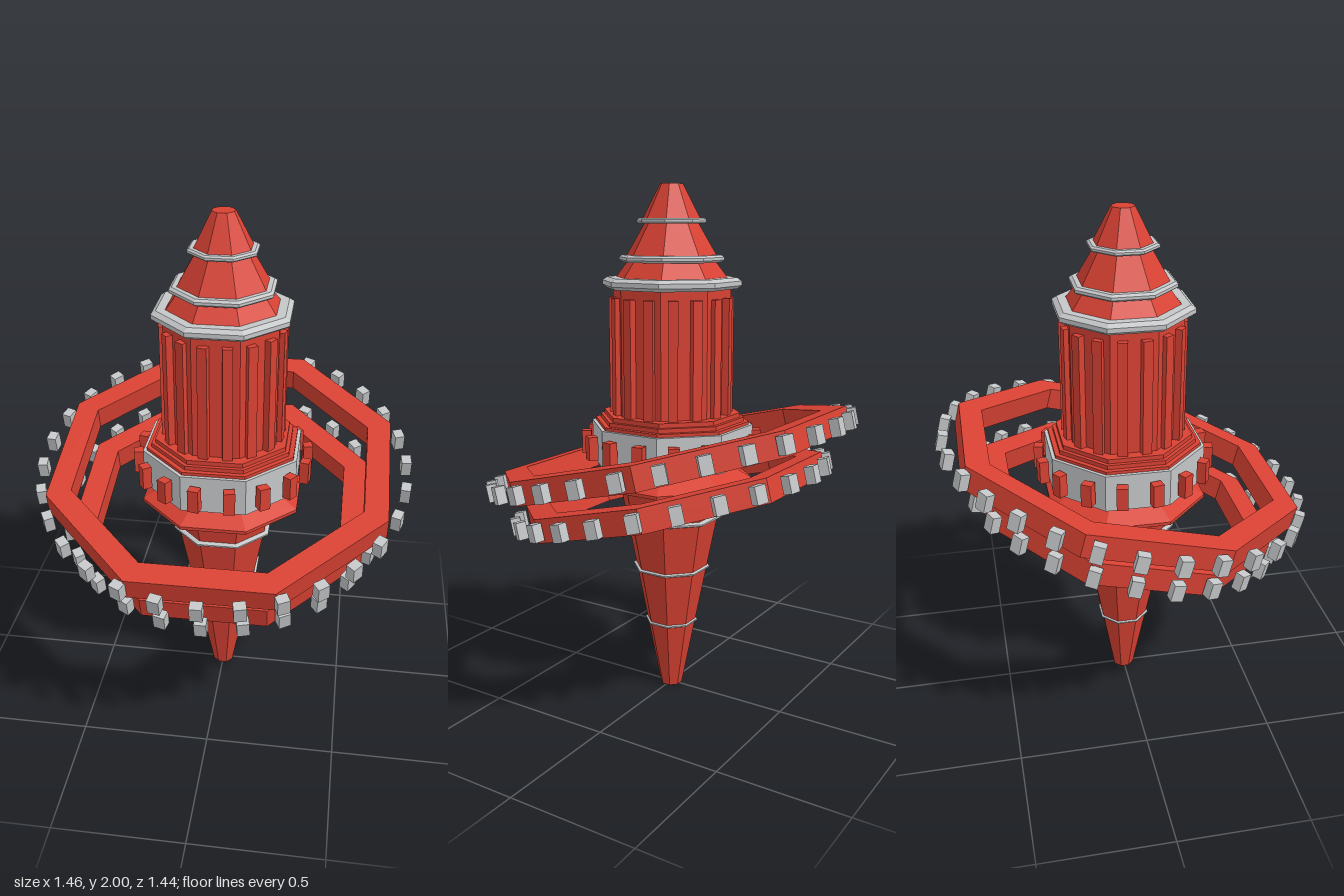
import * as THREE from 'three';

const SIDES = 8;
const TILT = THREE.MathUtils.degToRad(14);

export function createModel() {
  const red = new THREE.MeshStandardMaterial({ color: 0xd84133, flatShading: true });
  red.name = 'red hull';
  const grey = new THREE.MeshStandardMaterial({ color: 0xc4c6c8, flatShading: true });
  grey.name = 'grey metal';

  const model = new THREE.Group();
  model.name = 'spireStation';

  // Octagonal solid; profile points are [distance to the flat side, height], outer side going up
  function octagon(name, profile, material, parent = model) {
    const k = 1 / Math.cos(Math.PI / SIDES);
    const points = profile.map(([r, y]) => new THREE.Vector2(r * k, y));
    const mesh = new THREE.Mesh(new THREE.LatheGeometry(points, SIDES, Math.PI / SIDES), material);
    mesh.name = name;
    parent.add(mesh);
    return mesh;
  }

  // Frustum or stack with closed ends
  const solid = (name, profile, material) =>
    octagon(name, [[0, profile[0][1]], ...profile, [0, profile.at(-1)[1]]], material);

  // Thin chamfered trim band around the body
  function band(name, r, y, depth, height) {
    const h = height / 2, b = r - depth * 0.35, i = r - depth;
    octagon(name, [[i, y - h], [b, y - h], [r, y - h * 0.4], [r, y + h * 0.4],
      [b, y + h], [i, y + h]], grey);
  }

  // Evenly spaced boxes facing outward around the axis
  function boxCircle(name, count, radius, size, y, offset, material, parent = model) {
    const group = new THREE.Group();
    group.name = name;
    const geometry = new THREE.BoxGeometry(...size);
    for (let i = 0; i < count; i++) {
      const a = ((i + offset) / count) * Math.PI * 2;
      const box = new THREE.Mesh(geometry, material);
      box.position.set(Math.sin(a) * radius, y, Math.cos(a) * radius);
      box.rotation.y = a;
      group.add(box);
    }
    parent.add(group);
  }

  // Lower spike and its trim bands
  solid('lowerSpike', [[0.04, 0], [0.199, 0.88]], red);
  band('spikeBandLow', 0.098, 0.28, 0.02, 0.013);
  band('spikeBandMiddle', 0.143, 0.512, 0.02, 0.013);
  band('spikeBandHigh', 0.19, 0.728, 0.03, 0.016);

  // Flared skirt, collar with studs and stepped base
  solid('skirt', [[0.3, 0.872], [0.3, 0.885], [0.18, 0.957]], red);
  solid('collar', [[0.293, 0.955], [0.293, 1.1]], grey);
  boxCircle('collarStuds', 16, 0.33, [0.042, 0.09, 0.036], 1.025, 0.5, red);
  solid('steppedBase', [[0.28, 1.1], [0.28, 1.112], [0.262, 1.112], [0.262, 1.128],
    [0.248, 1.128], [0.248, 1.145]], red);

  // Tower with vertical slats
  solid('towerCore', [[0.21, 1.14], [0.21, 1.64]], red);
  boxCircle('towerSlats', 16, 0.222, [0.037, 0.44, 0.03], 1.365, 0.5, red);

  // Three-tier nose with trim bands
  solid('noseLower', [[0.207, 1.645], [0.14, 1.74]], red);
  solid('noseMiddle', [[0.167, 1.725], [0.088, 1.87]], red);
  solid('noseTip', [[0.108, 1.86], [0.04, 2]], red);
  band('noseBandLarge', 0.248, 1.638, 0.05, 0.042);
  band('noseBandMiddle', 0.186, 1.728, 0.03, 0.026);
  band('noseBandSmall', 0.123, 1.865, 0.022, 0.02);

  // Tilted floating rings, each circled by small blocks
  const rings = [
    { name: 'upperRing', y: 0.983, outer: 0.645, inner: 0.555, blocks: 30, radius: 0.713 },
    { name: 'lowerRing', y: 0.82, outer: 0.562, inner: 0.472, blocks: 26, radius: 0.622 },
  ];
  for (const { name, y, outer, inner, blocks, radius } of rings) {
    const group = new THREE.Group();
    group.name = name;
    group.position.y = y;
    group.rotation.x = TILT;
    const h = 0.045;
    octagon(name + 'Frame', [[outer, -h], [outer, h], [inner, h], [inner, -h], [outer, -h]], red, group);
    boxCircle(name + 'Blocks', blocks, radius, [0.046, 0.066, 0.038], 0, 0, grey, group);
    model.add(group);
  }
  return model;
}
